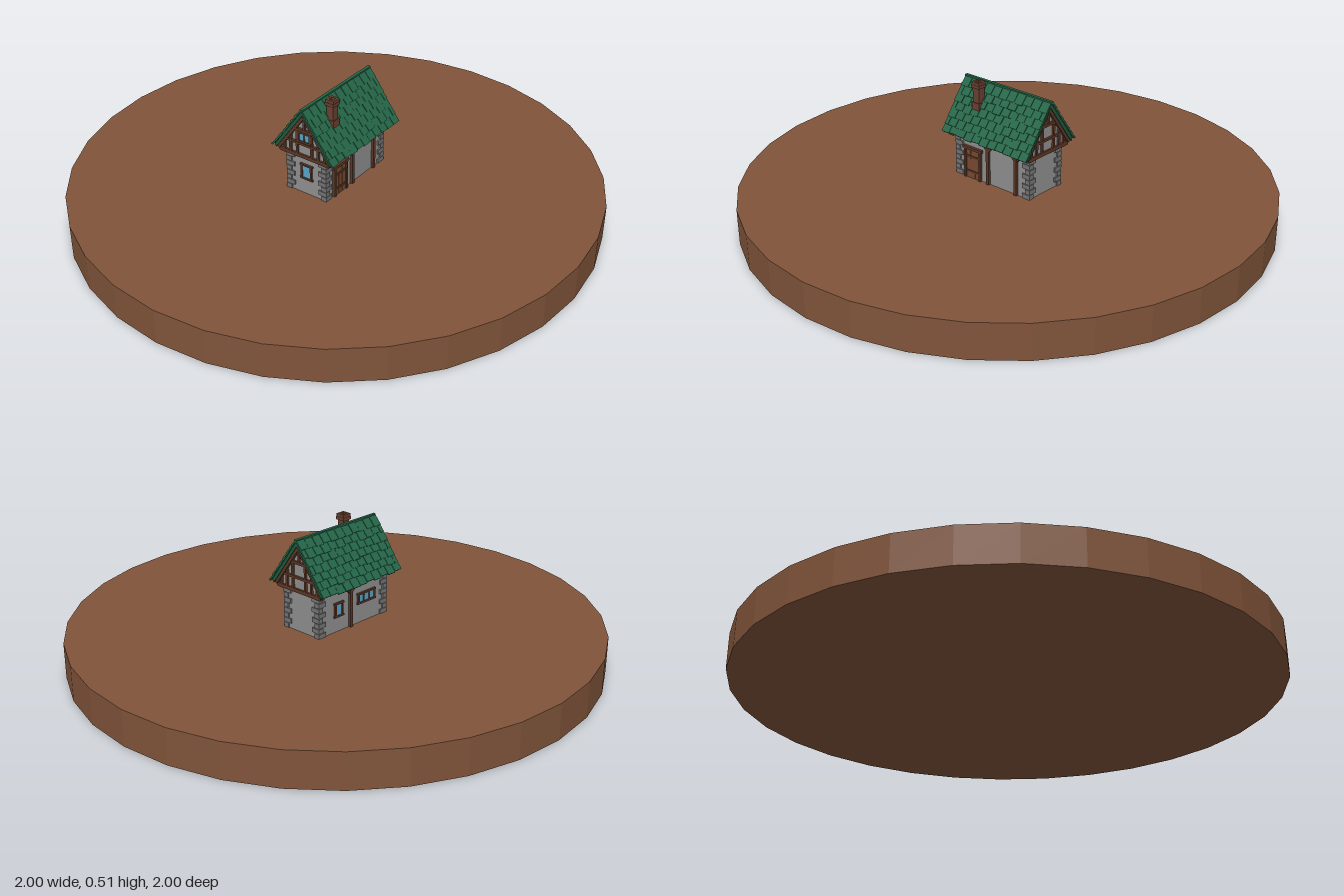
import * as THREE from 'three';

const mat = (color) => new THREE.MeshStandardMaterial({ color, flatShading: true });
const M = {
  earth: mat(0x80543a), wall: mat(0x909090), stone: mat(0x757575), wood: mat(0x5c3826),
  door: mat(0x7a4a30), roof: mat(0x1f5a3e), tile: mat(0x246648), glass: mat(0x5aa4cc), brick: mat(0x6b4030),
};

function box(parent, name, m, [w, h, d], [x, y, z], rz = 0) {
  const b = new THREE.Mesh(new THREE.BoxGeometry(w, h, d), m);
  b.name = name;
  b.position.set(x, y, z);
  b.rotation.z = rz;
  parent.add(b);
  return b;
}

// Extrudes an outline in x/y, centred along z
function prism(parent, name, m, points, depth) {
  const shape = new THREE.Shape(points.map(([x, y]) => new THREE.Vector2(x, y)));
  const g = new THREE.ExtrudeGeometry(shape, { depth, bevelEnabled: false });
  g.translate(0, 0, -depth / 2);
  const mesh = new THREE.Mesh(g, m);
  mesh.name = name;
  parent.add(mesh);
}

const GROUND = 0.135, W = 0.084, L = 0.176;         // ground height, wall half width and half length
const EAVE_X = 0.127, EAVE_Y = 0.318, RIDGE_Y = 0.495, ROOF_L = 0.208;
const SLOPE = Math.atan2(RIDGE_Y - EAVE_Y, EAVE_X);

// A group on one wall: its +z faces out of the house
function face(house, name, x, z, angle) {
  const g = new THREE.Group();
  g.name = name;
  g.position.set(x, 0, z);
  g.rotation.y = angle;
  house.add(g);
  return g;
}

function addWindow(parent, x, y, w, h, panes) {
  const g = new THREE.Group();
  g.name = 'window';
  g.position.set(x, y, 0);
  parent.add(g);
  box(g, 'glass', M.glass, [w, h, 0.004], [0, 0, 0.002]);
  for (const s of [-1, 1]) {
    box(g, 'windowRail', M.wood, [w + 0.014, 0.007, 0.01], [0, s * h / 2, 0.003]);
    box(g, 'windowStile', M.wood, [0.007, h, 0.01], [s * w / 2, 0, 0.003]);
  }
  for (let i = 1; i < panes; i++) {
    box(g, 'mullion', M.wood, [0.005, h, 0.008], [-w / 2 + (i * w) / panes, 0, 0.003]);
  }
}

function addPost(parent, x) {
  box(parent, 'post', M.wood, [0.013, 0.165, 0.014], [x, GROUND + 0.0825, 0.003]);
  for (const s of [-1, 1]) box(parent, 'brace', M.wood, [0.008, 0.035, 0.01], [x + s * 0.013, 0.281, 0.003], -s * 0.75);
}

function addDoor(parent, x) {
  const g = new THREE.Group();
  g.name = 'door';
  g.position.set(x, GROUND, 0);
  parent.add(g);
  for (let i = -1; i <= 1; i++) box(g, 'doorPlank', M.door, [0.02, 0.115, 0.008], [i * 0.021, 0.0575, 0.002]);
  for (const y of [0.028, 0.088]) box(g, 'doorBatten', M.wood, [0.06, 0.008, 0.012], [0, y, 0.003]);
  for (const s of [-1, 1]) box(g, 'doorJamb', M.wood, [0.009, 0.122, 0.016], [s * 0.036, 0.061, 0.003]);
  box(g, 'doorLintel', M.wood, [0.092, 0.011, 0.018], [0, 0.122, 0.003]);
}

// Half-timbered triangle above the end wall
function addGable(parent, hasWindow) {
  const top = (x) => 0.468 - 1.39 * Math.abs(x);
  for (const x of [-0.09, -0.062, -0.032, 0.032, 0.062, 0.09]) {
    const h = top(x) - 0.305;
    box(parent, 'gableStud', M.wood, [0.009, h, 0.01], [x, 0.305 + h / 2, 0.013]);
  }
  box(parent, 'collarBeam', M.wood, [0.1, 0.01, 0.013], [0, 0.408, 0.013]);
  box(parent, 'gableRail', M.wood, [0.16, 0.009, 0.012], [0, 0.352, 0.013]);
  for (const s of [-1, 1]) box(parent, 'gableRafter', M.wood, [0.195, 0.012, 0.016], [s * 0.058, 0.386, 0.014], -s * SLOPE);
  box(parent, 'kingPost', M.wood, [0.009, 0.06, 0.01], [0, 0.435, 0.013]);
  if (!hasWindow) return;
  const g = new THREE.Group();
  g.name = 'gableWindow';
  g.position.z = 0.011;
  parent.add(g);
  addWindow(g, 0, 0.38, 0.05, 0.036, 2);
}

function addRoof(house) {
  const roof = new THREE.Group();
  roof.name = 'roof';
  house.add(roof);
  prism(roof, 'roofSlab', M.roof, [[-EAVE_X, EAVE_Y], [-EAVE_X + 0.006, EAVE_Y - 0.012], [0, RIDGE_Y - 0.02],
    [EAVE_X - 0.006, EAVE_Y - 0.012], [EAVE_X, EAVE_Y], [0, RIDGE_Y]], 2 * ROOF_L - 0.012);
  let seed = 7;
  const rand = () => (seed = (seed * 16807) % 2147483647) / 2147483647;
  const rows = 7, cols = 11, run = Math.hypot(EAVE_X, RIDGE_Y - EAVE_Y), step = (2 * ROOF_L) / cols;
  for (const s of [-1, 1]) {
    for (let r = 0; r < rows; r++) {
      const odd = r % 2;
      // Odd rows start with half tiles so that the joints are staggered
      for (let c = 0; c < cols + odd; c++) {
        const z0 = Math.max(-ROOF_L, -ROOF_L + (c - odd / 2) * step);
        const z1 = Math.min(ROOF_L, -ROOF_L + (c + 1 - odd / 2) * step);
        const len = run / rows + 0.007 + rand() * 0.007;
        const d = (r * run) / rows + len / 2, lift = 0.003 + rand() * 0.002;
        const x = s * (d * Math.cos(SLOPE) + lift * Math.sin(SLOPE));
        const y = RIDGE_Y - d * Math.sin(SLOPE) + lift * Math.cos(SLOPE);
        box(roof, 'shingle', M.tile, [len, 0.006, z1 - z0 - 0.002], [x, y, (z0 + z1) / 2], -s * (SLOPE - 0.1));
      }
    }
  }
  box(roof, 'ridgeCap', M.tile, [0.012, 0.01, 2 * ROOF_L], [0, RIDGE_Y + 0.001, 0]);
  // Rafter feet under the eaves
  for (const s of [-1, 1]) {
    for (let i = 0; i < 9; i++) box(roof, 'rafterFoot', M.wood, [0.03, 0.009, 0.009], [s * 0.102, 0.312, -0.172 + i * 0.043]);
  }
}

function addChimney(house) {
  const g = new THREE.Group();
  g.name = 'chimney';
  g.position.set(0.054, 0, 0.096);
  house.add(g);
  box(g, 'chimneyShaft', M.brick, [0.03, 0.11, 0.03], [0, 0.445, 0]);
  box(g, 'chimneyFoot', M.brick, [0.036, 0.04, 0.036], [0, 0.415, 0]);
  box(g, 'chimneyCap', M.brick, [0.039, 0.012, 0.039], [0, 0.498, 0]);
  for (const s of [-1, 1]) {
    box(g, 'chimneyRim', M.brick, [0.036, 0.012, 0.009], [0, 0.509, s * 0.0135]);
    box(g, 'chimneyRim', M.brick, [0.009, 0.012, 0.018], [s * 0.0135, 0.509, 0]);
  }
}

export function createModel() {
  const model = new THREE.Group();
  const base = new THREE.Mesh(new THREE.CylinderGeometry(1, 1, GROUND, 32), M.earth);
  base.name = 'groundDisc';
  base.position.y = GROUND / 2;
  model.add(base);

  const house = new THREE.Group();
  house.name = 'house';
  house.rotation.y = -0.6;
  model.add(house);

  // Walls, attic and the beams round the wall top
  box(house, 'walls', M.wall, [2 * W, 0.17, 2 * L], [0, GROUND + 0.085, 0]);
  prism(house, 'attic', M.wall, [[-0.114, 0.306], [0.114, 0.306], [0, 0.472]], 2 * L + 0.02);
  for (const s of [-1, 1]) {
    box(house, 'sideBeam', M.wood, [0.016, 0.014, 2 * L + 0.036], [s * (W + 0.006), 0.3, 0]);
    box(house, 'endBeam', M.wood, [0.222, 0.014, 0.02], [0, 0.301, s * (L + 0.008)]);
  }

  // Corner stones, long and short in turn
  for (const sx of [-1, 1]) for (const sz of [-1, 1]) {
    for (let i = 0; i < 8; i++) {
      const a = i % 2 ? 0.036 : 0.022, b = i % 2 ? 0.022 : 0.036;
      box(house, 'cornerStone', M.stone, [a, 0.0175, b],
        [sx * (W + 0.006 - a / 2), GROUND + 0.01 + i * 0.0198, sz * (L + 0.006 - b / 2)]);
    }
  }

  const doorSide = face(house, 'doorSide', W, 0, Math.PI / 2);
  addDoor(doorSide, -0.095);
  addPost(doorSide, -0.02);
  addPost(doorSide, 0.115);

  const windowSide = face(house, 'windowSide', -W, 0, -Math.PI / 2);
  addWindow(windowSide, -0.077, 0.222, 0.036, 0.05, 1);
  addPost(windowSide, -0.015);
  addWindow(windowSide, 0.07, 0.232, 0.085, 0.036, 3);

  const frontEnd = face(house, 'frontEnd', 0, L, 0);
  addWindow(frontEnd, 0, 0.23, 0.042, 0.056, 1);
  addGable(frontEnd, true);
  addGable(face(house, 'backEnd', 0, -L, Math.PI), false);

  addRoof(house);
  addChimney(house);
  return model;
}
